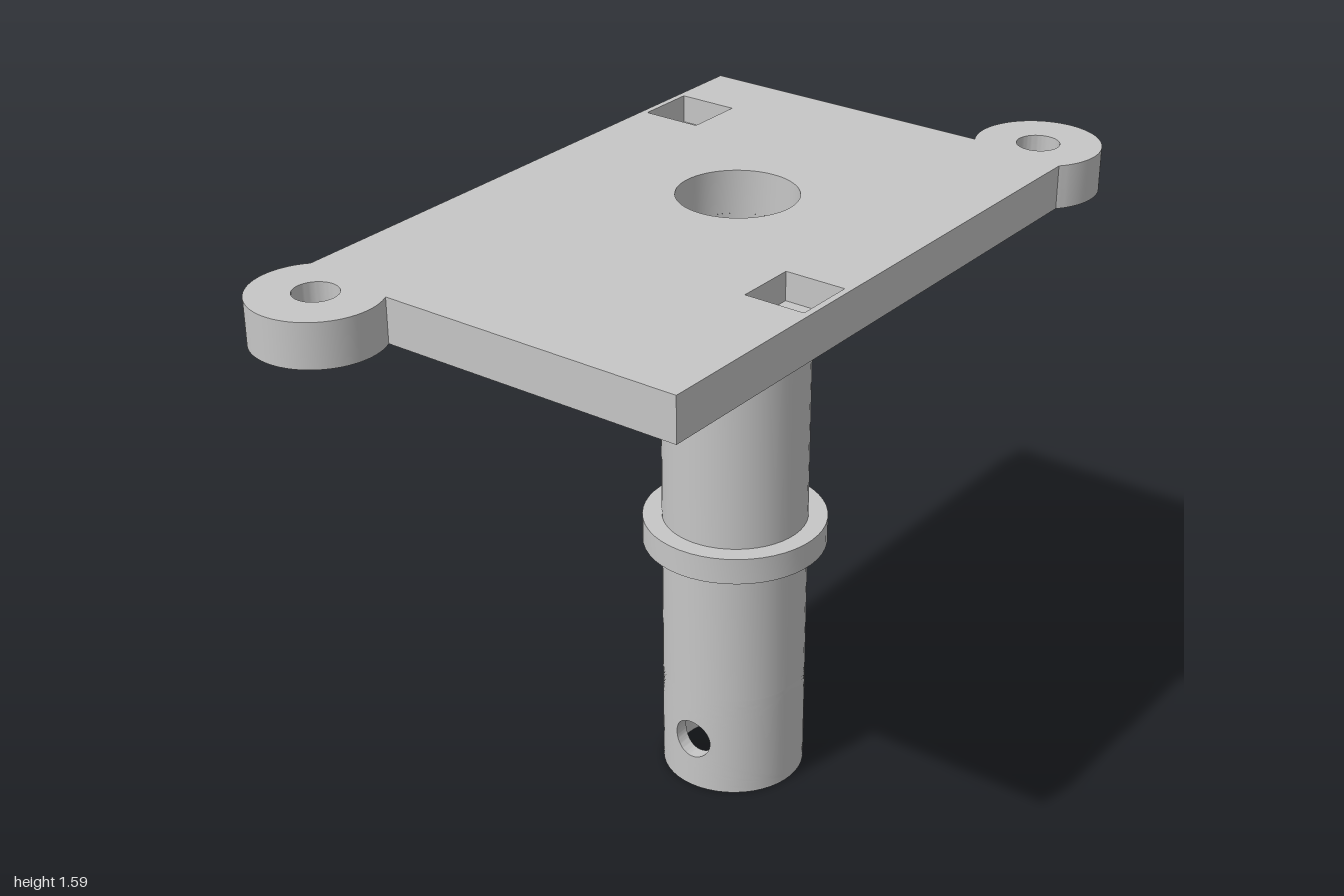
import * as THREE from 'three';
import { mergeGeometries, toCreasedNormals } from 'three/addons/utils/BufferGeometryUtils.js';

const PLATE_BOTTOM = 1.475, PLATE_TOP = 1.585, POCKET_FLOOR = 1.515;
const OUTER = 0.184, BORE = 0.147, TUBE_Z = -0.141;
const PIN_Y = 0.143, PIN_R = 0.053, LOWER = 2 * PIN_Y;

// Regular grid of quads; faces point along du x dv
function grid(nu, nv, fn) {
  const pos = [], idx = [];
  for (let i = 0; i <= nu; i++) for (let j = 0; j <= nv; j++) pos.push(...fn(i / nu, j / nv));
  for (let i = 0; i < nu; i++) for (let j = 0; j < nv; j++) {
    const a = i * (nv + 1) + j, b = a + nv + 1;
    idx.push(a, b, b + 1, a, b + 1, a + 1);
  }
  const g = new THREE.BufferGeometry();
  g.setAttribute('position', new THREE.Float32BufferAttribute(pos, 3));
  g.setIndex(idx);
  return g;
}

// Join pieces, keeping corners sharp and curves smooth
function join(parts) {
  const clean = parts.map((p) => {
    const g = p.toNonIndexed();
    g.deleteAttribute('uv');
    g.deleteAttribute('normal');
    return g;
  });
  const g = mergeGeometries(clean);
  g.computeVertexNormals();
  return toCreasedNormals(g, 0.6);
}

// Vertical wall along a closed outline; holes face inward
function wall(path, y0, y1, isHole) {
  let pts = path.getPoints(32);
  if (pts[0].distanceTo(pts[pts.length - 1]) < 1e-6) pts.pop();
  if (THREE.ShapeUtils.isClockWise(pts) !== isHole) pts = pts.reverse();
  const n = pts.length;
  return grid(n, 1, (u, v) => {
    const p = pts[Math.round(u * n) % n];
    return [p.x, v ? y1 : y0, -p.y];
  });
}

// Flat horizontal face, looking up or down
function face(shape, y, up) {
  const g = new THREE.ShapeGeometry(shape, 32).rotateX(-Math.PI / 2).translate(0, y, 0);
  if (!up) {
    const a = g.index.array;
    for (let i = 0; i < a.length; i += 3) [a[i], a[i + 1]] = [a[i + 1], a[i]];
  }
  return g;
}

const circle = (x, z, r) => new THREE.Path().absarc(x, -z, r, 0, Math.PI * 2, false);

function square(x, z, s) {
  const h = s / 2;
  return new THREE.Shape([[-h, -h], [h, -h], [h, h], [-h, h]]
    .map(([a, b]) => new THREE.Vector2(x + a, -z + b)));
}

// Rectangle with round lugs on two opposite corners
function plateOutline() {
  const s = new THREE.Shape();
  s.absarc(0.399, 0.845, 0.155, -0.725, 3.61, false);
  s.lineTo(-0.515, 0.775);
  s.absarc(-0.399, -0.845, 0.155, Math.PI - 0.725, Math.PI + 3.61, false);
  s.lineTo(0.515, -0.775);
  s.closePath();
  return s;
}

function plateGeometry() {
  const holes = [circle(0, TUBE_Z, BORE), circle(0.399, -0.845, PIN_R), circle(-0.399, 0.845, PIN_R)];
  const pockets = [square(-0.423, -0.518, 0.153), square(0.422, 0.233, 0.153)];
  const top = plateOutline(), bottom = plateOutline();
  top.holes.push(...holes, ...pockets);
  bottom.holes.push(...holes);
  return join([
    face(top, PLATE_TOP, true),
    face(bottom, PLATE_BOTTOM, false),
    wall(plateOutline(), PLATE_BOTTOM, PLATE_TOP, false),
    ...holes.map((h) => wall(h, PLATE_BOTTOM, PLATE_TOP, true)),
    ...pockets.map((p) => wall(p, POCKET_FLOOR, PLATE_TOP, true)),
    ...pockets.map((p) => face(p, POCKET_FLOOR, true)),
  ]);
}

// Half of the lower tube: wall surface running from the pin hole to a rectangle of angle and height
function halfWall(r, outward) {
  const even = (t) => Math.atan(t) * 4 / Math.PI; // equal steps along each side
  const at = (t, phi) => {
    const c = Math.cos(phi), s = Math.sin(phi), m = Math.max(Math.abs(c), Math.abs(s));
    const a = THREE.MathUtils.lerp(Math.asin(PIN_R * c / r), even(c / m) * Math.PI / 2, t);
    const y = THREE.MathUtils.lerp(PIN_Y + PIN_R * s, PIN_Y + even(s / m) * LOWER / 2, t);
    return [r * Math.sin(a), y, r * Math.cos(a)];
  };
  return outward
    ? grid(16, 96, (u, v) => at(u, v * Math.PI * 2))
    : grid(96, 16, (u, v) => at(v, u * Math.PI * 2));
}

// Sides of the pin hole, through the thickness of the tube
function pinHole() {
  return grid(1, 96, (u, v) => {
    const x = PIN_R * Math.cos(v * Math.PI * 2), r = u ? OUTER : BORE;
    return [x, PIN_Y + PIN_R * Math.sin(v * Math.PI * 2), Math.sqrt(r * r - x * x)];
  });
}

const lathe = (pts) => new THREE.LatheGeometry(pts.map(([x, y]) => new THREE.Vector2(x, y)), 48);

export function createModel() {
  const model = new THREE.Group();
  const gray = new THREE.MeshStandardMaterial({ color: 0xc6c6c6 });
  gray.name = 'plain gray';
  const add = (name, geometry, z = 0) => {
    const mesh = new THREE.Mesh(geometry, gray);
    mesh.name = name;
    mesh.position.z = z;
    model.add(mesh);
  };

  add('mountingPlate', plateGeometry());

  // Upper tube with its collar, and the bore inside
  add('upperTube', join([
    lathe([[OUTER, LOWER], [OUTER, 0.66], [0.233, 0.66], [0.233, 0.73], [OUTER, 0.73], [OUTER, PLATE_BOTTOM]]),
    lathe([[BORE, PLATE_BOTTOM], [BORE, LOWER]]),
  ]), TUBE_Z);

  // Lower tube with a pin hole front and back, and the bottom rim
  const half = () => [halfWall(OUTER, true), halfWall(BORE, false), pinHole()];
  add('lowerTube', join([
    ...half(),
    ...half().map((g) => g.rotateY(Math.PI)),
    lathe([[BORE, 0], [OUTER, 0]]),
  ]), TUBE_Z);

  return model;
}
